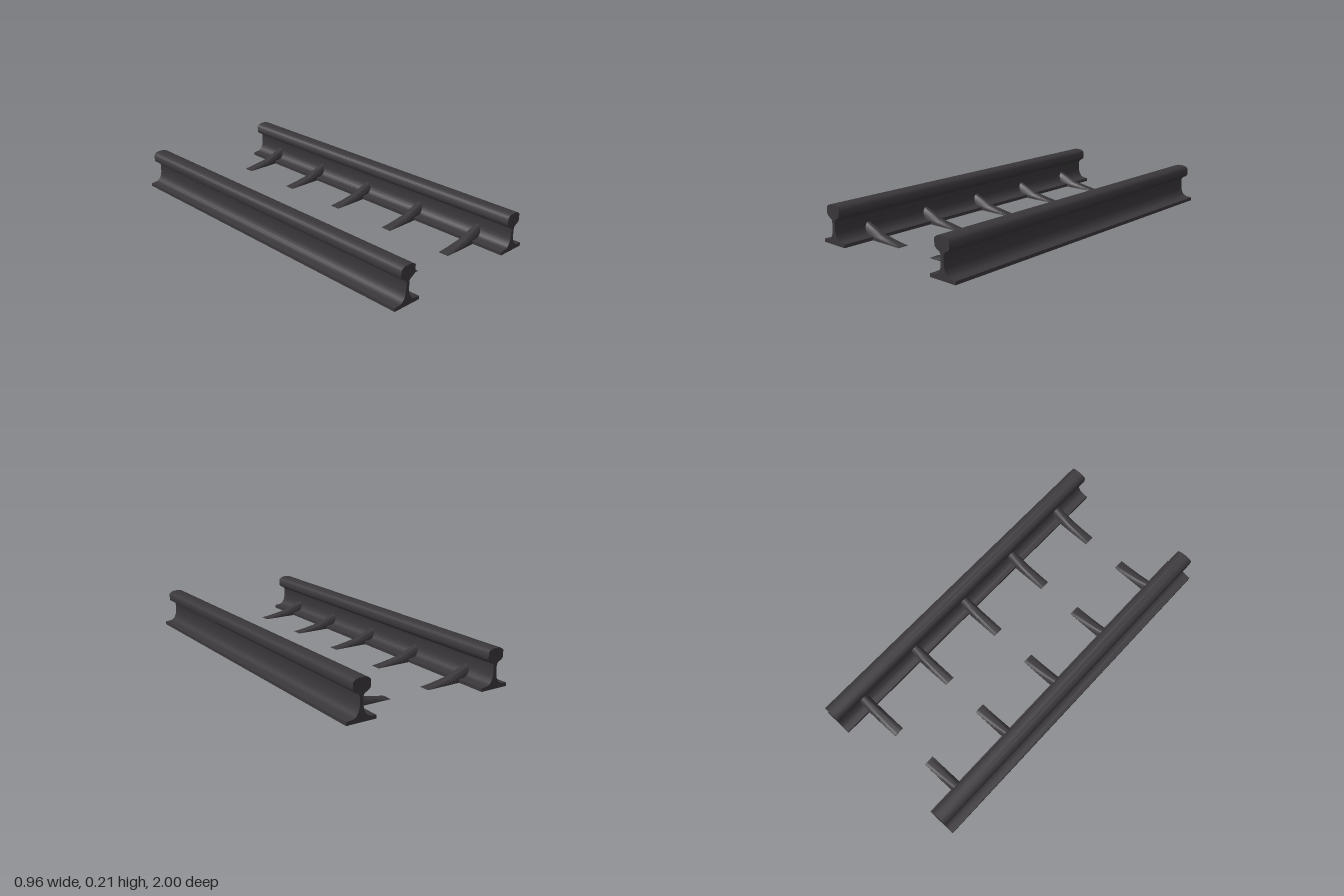
import * as THREE from 'three';
import { toCreasedNormals } from 'three/addons/utils/BufferGeometryUtils.js';

const steel = new THREE.MeshStandardMaterial({ color: 0x3a373a });

// Right half of the rail section, from foot to crown
const HALF = [
  [0.082, 0], [0.082, 0.018], [0.05, 0.021], [0.036, 0.025], [0.026, 0.034], [0.018, 0.047],
  [0.013, 0.06], [0.01, 0.078], [0.01, 0.122], [0.013, 0.131], [0.02, 0.136], [0.038, 0.146],
  [0.046, 0.153], [0.048, 0.16], [0.048, 0.192], [0.044, 0.198], [0.032, 0.206], [0.015, 0.21],
];

function railGeometry() {
  const right = HALF.map(([x, y]) => new THREE.Vector2(x, y));
  const left = HALF.map(([x, y]) => new THREE.Vector2(-x, y)).reverse();
  const geo = new THREE.ExtrudeGeometry(new THREE.Shape([...right, ...left]), { depth: 2, bevelEnabled: false });
  geo.translate(0, 0, -1);
  return toCreasedNormals(geo, 0.6);
}

// Arched wedge running inward (-x) from the web, thinning to a flat tip
function wedgeGeometry() {
  const sections = [[0.4, 0.085], [0.385, 0.081], [0.27, 0.035], [0.115, 0.001]];
  const arcs = 12, ring = arcs + 1, halfWidth = 0.031;
  const pos = [], index = [];
  for (const [x, h] of sections) {
    for (let i = 0; i < ring; i++) {
      const a = Math.PI * i / arcs;
      pos.push(x, h * Math.pow(Math.sin(a), 0.8), halfWidth * Math.cos(a));
    }
  }
  for (let s = 0; s < sections.length - 1; s++) {
    for (let i = 0; i < ring; i++) {
      const j = (i + 1) % ring; // the last step closes the flat underside
      const a = s * ring + i, b = s * ring + j, c = a + ring, d = b + ring;
      index.push(a, b, c, b, d, c);
    }
  }
  const end = (sections.length - 1) * ring;
  for (let i = 1; i < arcs; i++) {
    index.push(0, i + 1, i);
    index.push(end, end + i, end + i + 1);
  }
  const geo = new THREE.BufferGeometry();
  geo.setAttribute('position', new THREE.Float32BufferAttribute(pos, 3));
  geo.setIndex(index);
  return toCreasedNormals(geo, 0.7);
}

export function createModel() {
  const model = new THREE.Group();
  model.name = 'railTrack';
  const railGeo = railGeometry();
  const wedgeGeo = wedgeGeometry();

  for (const side of [1, -1]) {
    const half = new THREE.Group();
    half.name = side > 0 ? 'leftRail' : 'rightRail';

    const rail = new THREE.Mesh(railGeo, steel);
    rail.name = 'rail';
    rail.position.x = 0.4 * side;
    half.add(rail);

    // Five braces along the inner side
    for (let i = 0; i < 5; i++) {
      const wedge = new THREE.Mesh(wedgeGeo, steel);
      wedge.name = 'brace';
      wedge.rotation.y = side > 0 ? 0 : Math.PI;
      wedge.position.z = -0.81 + 0.4 * i;
      half.add(wedge);
    }
    model.add(half);
  }
  return model;
}
